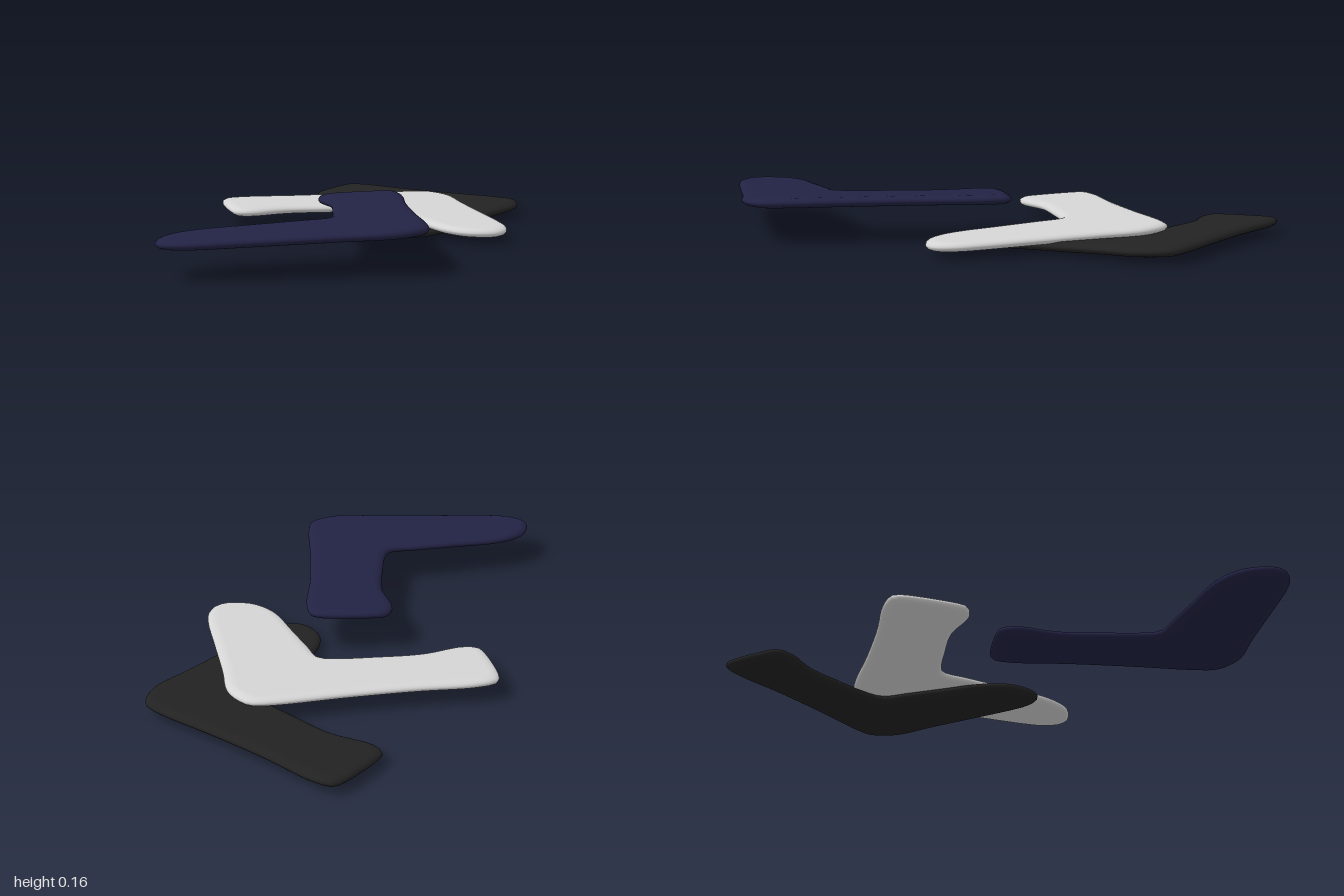
import * as THREE from 'three';
import { mergeVertices } from 'three/addons/utils/BufferGeometryUtils.js';

// Boomerang outline seen from above (x, z): square arm, elbow, round arm
const OUTLINE = [
  [0.10, -0.25], [0.16, -0.20], [0.28, -0.03], [0.43, 0.16], [0.59, 0.35], [0.63, 0.42], [0.62, 0.48],
  [0.58, 0.55], [0.46, 0.65], [0.29, 0.80], [0.13, 0.94], [0.07, 0.98], [0, 0.995], [-0.045, 0.97],
  [-0.08, 0.89], [-0.075, 0.82], [-0.04, 0.74], [0.06, 0.61], [0.16, 0.48], [0.22, 0.40], [0.21, 0.35],
  [0.13, 0.22], [0.03, 0.08], [-0.09, -0.02], [-0.11, -0.08], [-0.08, -0.12], [0.07, -0.245],
];
const THICK = 0.034, BEVEL = 0.035;

// One boomerang turned about y, fitted to its footprint and tilted to y = a + bx + cz
function boomerang(name, material, degrees, [x0, x1, z0, z1], [a, b, c]) {
  const curve = new THREE.CatmullRomCurve3(OUTLINE.map(([x, z]) => new THREE.Vector3(x, z, 0)), true);
  const centre = new THREE.Vector2();
  const turn = THREE.MathUtils.degToRad(degrees);
  const pts = curve.getSpacedPoints(110).slice(0, -1)
    .map((p) => new THREE.Vector2(p.x, p.y).rotateAround(centre, turn));
  const box = new THREE.Box2().setFromPoints(pts);
  const size = box.getSize(new THREE.Vector2());
  for (const p of pts) {
    p.set(x0 + (p.x - box.min.x) / size.x * (x1 - x0), z0 + (p.y - box.min.y) / size.y * (z1 - z0));
  }

  // Thin slab with an elliptical rounded rim
  const depth = 0.002;
  let geo = new THREE.ExtrudeGeometry(new THREE.Shape(pts), {
    depth, bevelEnabled: true, bevelThickness: (THICK - depth) / 2,
    bevelSize: BEVEL, bevelOffset: -BEVEL, bevelSegments: 6, steps: 1,
  });
  geo.translate(0, 0, -depth / 2);
  geo.rotateX(Math.PI / 2);
  const pos = geo.attributes.position;
  for (let i = 0; i < pos.count; i++) {
    pos.setY(i, pos.getY(i) + a + b * pos.getX(i) + c * pos.getZ(i));
  }

  // Weld for smooth shading
  geo.deleteAttribute('uv');
  geo.deleteAttribute('normal');
  geo.clearGroups();
  geo = mergeVertices(geo, 1e-5);
  geo.computeVertexNormals();
  const mesh = new THREE.Mesh(geo, material);
  mesh.name = name;
  return mesh;
}

function makeMaterial(name, color) {
  const m = new THREE.MeshStandardMaterial({ color });
  m.name = name;
  return m;
}

export function createModel() {
  const group = new THREE.Group();
  group.name = 'boomerangs';
  group.add(
    boomerang('navyBoomerang', makeMaterial('navy', 0x222244), 0,
      [-0.11, 0.63, -0.25, 1.0], [0.1345, 0.023, -0.0215]),
    boomerang('whiteBoomerang', makeMaterial('white', 0xd4d4d4), -98,
      [-0.635, 0.56, -0.785, 0.01], [0.0465, -0.0278, -0.026]),
    boomerang('blackBoomerang', makeMaterial('black', 0x222222), -49,
      [-0.585, 0.305, -1.0, -0.14], [0.012, 0, -0.03]),
  );
  return group;
}
